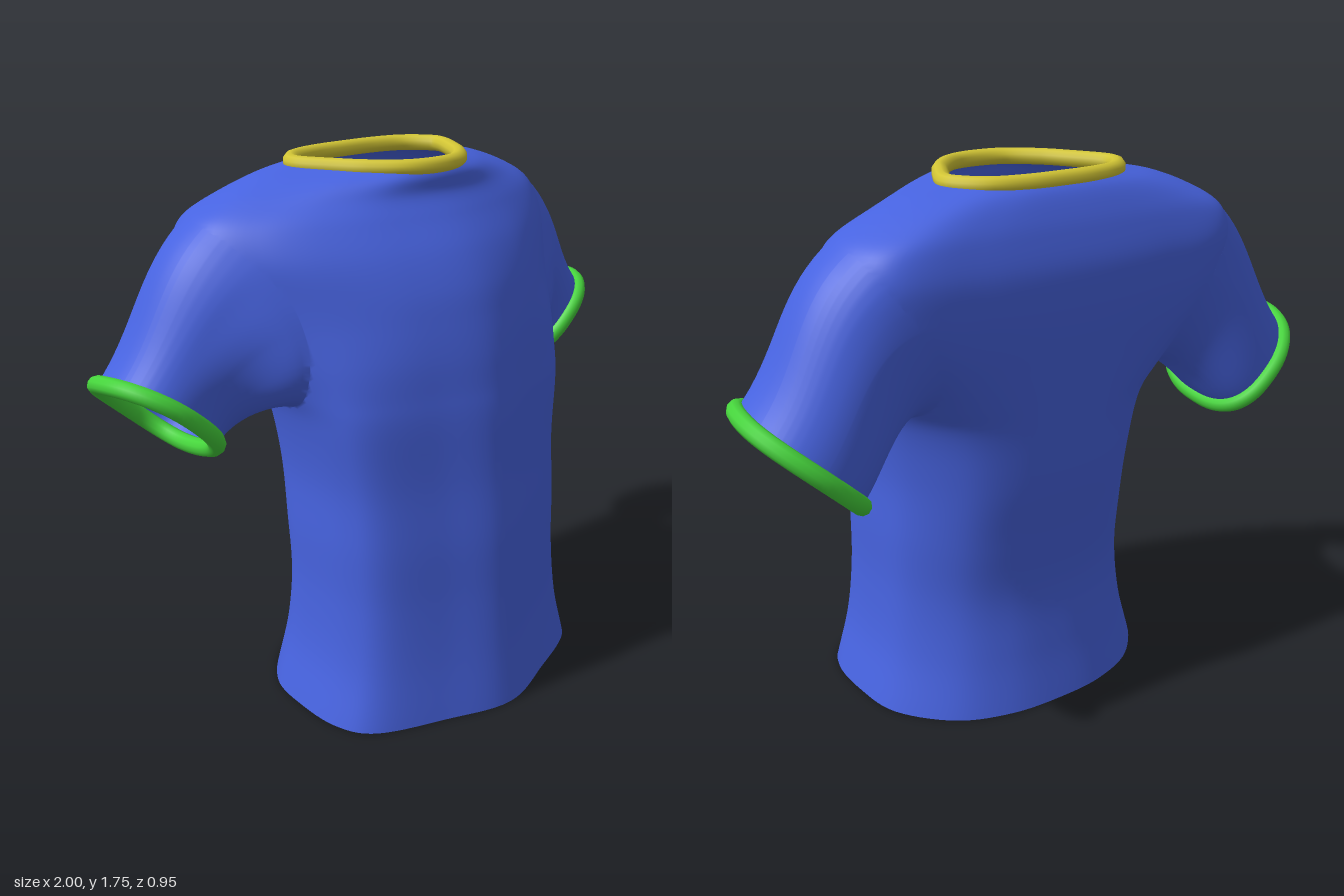
import * as THREE from 'three';

// Torso rows from hem to neck: height, half width, front z, back z, middle z
const ROWS = [
  [0.01, 0.525, 0.475, -0.39, 0.00], [0.2, 0.475, 0.455, -0.355, 0.00],
  [0.4, 0.455, 0.44, -0.335, 0.00], [0.6, 0.455, 0.43, -0.36, 0.00],
  [0.8, 0.455, 0.41, -0.4, 0.00], [1.0, 0.485, 0.395, -0.425, -0.01],
  [1.1, 0.515, 0.38, -0.435, -0.03], [1.2, 0.55, 0.362, -0.445, -0.05],
  [1.3, 0.585, 0.335, -0.455, -0.08], [1.4, 0.615, 0.30, -0.46, -0.11],
  [1.5, 0.64, 0.245, -0.455, -0.14], [1.59, 0.63, 0.175, -0.43, -0.17],
  [1.65, 0.555, 0.13, -0.405, -0.18], [1.7, 0.435, 0.12, -0.375, -0.19],
  [1.73, 0.298, 0.1, -0.34, -0.19],
];
// Half outlines (x, z as fractions), front centre to back centre
const WAIST = [[0, 1], [0.44, 0.85], [0.84, 0.66], [0.98, 0.42], [1, 0.06], [0.94, -0.38], [0.68, -0.78], [0.35, -0.96], [0, -1]];
const CHEST = [[0, 1], [0.36, 0.89], [0.66, 0.67], [0.9, 0.39], [1.06, 0.06], [1.06, -0.5], [0.92, -0.9], [0.52, -0.98], [0, -1]];
const NECK = [[0, 1], [0.34, 0.93], [0.63, 0.67], [0.82, 0.37], [1, 0], [0.95, -0.4], [0.74, -0.8], [0.4, -0.97], [0, -1]];
const LAST = ROWS.length - 1;

// Armhole ellipse in (around, row) space
const HOLE = { u: 0.283, v: 8.2, du: 0.104, dv: 2.9 };

const rowCurve = (cols) => new THREE.CatmullRomCurve3(
  ROWS.map((r) => new THREE.Vector3(...cols.map((c) => r[c]))), false, 'catmullrom');
const curveA = rowCurve([0, 1, 2]);
const curveB = rowCurve([0, 3, 4]);

// Closed horizontal outline of the torso at row v
function section(v) {
  const { lerp, smoothstep } = THREE.MathUtils;
  const { x: y, y: w, z: front } = curveA.getPoint(v / LAST);
  const { y: back, z: mid } = curveB.getPoint(v / LAST);
  const toChest = smoothstep(v, 4.5, 9);
  const toNeck = smoothstep(v, 10, LAST);
  const half = WAIST.map((p, i) => {
    const [fx, fz] = [0, 1].map((k) => lerp(lerp(p[k], CHEST[i][k], toChest), NECK[i][k], toNeck));
    return new THREE.Vector3(fx * w, y, mid + fz * (fz > 0 ? front - mid : mid - back));
  });
  const mirrored = half.slice(1, -1).reverse().map((p) => new THREE.Vector3(-p.x, p.y, p.z));
  return new THREE.CatmullRomCurve3([...half, ...mirrored], true, 'catmullrom');
}

// Torso point around an armhole; scale 1 is its rim, larger is outside it
function holePoint(angle, side, scale) {
  const u = HOLE.u - Math.cos(angle) * HOLE.du * scale;
  return section(HOLE.v + Math.sin(angle) * HOLE.dv * scale).getPoint(side > 0 ? u : 1 - u);
}

// Point on the sleeve opening; angle 0 is the front, a quarter turn is the top
function cuffPoint(angle, side) {
  const soft = (n) => Math.sign(n) * Math.abs(n) ** 0.85;
  const c = soft(Math.cos(angle)), s = soft(Math.sin(angle));
  return new THREE.Vector3(side * (0.832 + 0.142 * s - 0.025 * c * c), 1.032 + 0.133 * s + 0.03 * c, -0.245 + 0.2 * c);
}

function shirtGeometry() {
  const NU = 112, NV = 98, STEPS = 16;
  const pos = [], index = [], info = [];

  // Torso grid, with points inside an armhole moved to its rim
  for (let j = 0; j <= NV; j++) {
    const v = (j / NV) * LAST;
    const ring = section(v);
    for (let i = 0; i < NU; i++) {
      const u = i / NU;
      const side = u < 0.5 ? 1 : -1;
      const du = ((side > 0 ? u : 1 - u) - HOLE.u) / HOLE.du;
      const dv = (v - HOLE.v) / HOLE.dv;
      const inside = Math.hypot(du, dv) < 1;
      const angle = Math.atan2(dv, -du);
      const p = inside ? holePoint(angle, side, 1) : ring.getPoint(u);
      info.push({ inside, side, angle });
      pos.push(p.x, p.y, p.z);
    }
  }

  // Torso faces, leaving the armholes open
  const rim = new Set();
  for (let j = 0; j < NV; j++) for (let i = 0; i < NU; i++) {
    const n = (i + 1) % NU;
    const quad = [j * NU + i, j * NU + n, (j + 1) * NU + n, (j + 1) * NU + i];
    if (quad.every((q) => info[q].inside)) continue;
    quad.forEach((q) => info[q].inside && rim.add(q));
    const [a, b, c, d] = quad;
    index.push(a, b, c, a, c, d);
  }

  // Sleeves leave the armhole rims along the cloth and run to the cuffs
  for (const side of [1, -1]) {
    let previous = [...rim].filter((q) => info[q].side === side).sort((a, b) => info[a].angle - info[b].angle);
    const curves = previous.map((q) => {
      const a = info[q].angle, up = Math.sin(a);
      const start = holePoint(a, side, 1);
      const end = cuffPoint(a, side);
      const reach = start.distanceTo(end) * (0.36 + 0.03 * up);
      const leave = start.clone().sub(holePoint(a, side, 1.08)).normalize().multiplyScalar(0.6 + 0.4 * up)
        .add(new THREE.Vector3(side * 0.85, -0.2 - 0.3 * up, 0)).normalize();
      const arrive = new THREE.Vector3(side * 0.68, -0.73, 0);
      return new THREE.CubicBezierCurve3(start, start.clone().addScaledVector(leave, reach),
        end.clone().addScaledVector(arrive, -reach), end);
    });
    for (let t = 1; t <= STEPS; t++) {
      const ring = curves.map((curve) => {
        const p = curve.getPoint(t / STEPS);
        return pos.push(p.x, p.y, p.z) / 3 - 1;
      });
      ring.forEach((b, i) => {
        const n = (i + 1) % ring.length;
        const a = previous[i], c = ring[n], d = previous[n];
        if (side > 0) index.push(a, b, c, a, c, d);
        else index.push(a, c, b, a, d, c);
      });
      previous = ring;
    }
  }

  const geometry = new THREE.BufferGeometry();
  geometry.setAttribute('position', new THREE.Float32BufferAttribute(pos, 3));
  geometry.setIndex(index);
  geometry.computeVertexNormals();
  return geometry;
}

export function createModel() {
  const group = new THREE.Group();
  const add = (name, geometry, color) => {
    const mesh = new THREE.Mesh(geometry, new THREE.MeshStandardMaterial({ color, side: THREE.DoubleSide }));
    mesh.name = name;
    group.add(mesh);
  };

  // Torso and sleeves in one cloth
  add('shirtBody', shirtGeometry(), 0x4763e0);

  // Neck band
  add('collar', new THREE.TubeGeometry(section(LAST), 120, 0.026, 10, true), 0xd2c535);

  // Sleeve bands
  for (const side of [1, -1]) {
    const points = Array.from({ length: 32 }, (_, i) => cuffPoint((i / 32) * Math.PI * 2, side));
    const loop = new THREE.CatmullRomCurve3(points, true);
    add(side > 0 ? 'leftCuff' : 'rightCuff', new THREE.TubeGeometry(loop, 96, 0.028, 10, true), 0x46d43c);
  }
  return group;
}
